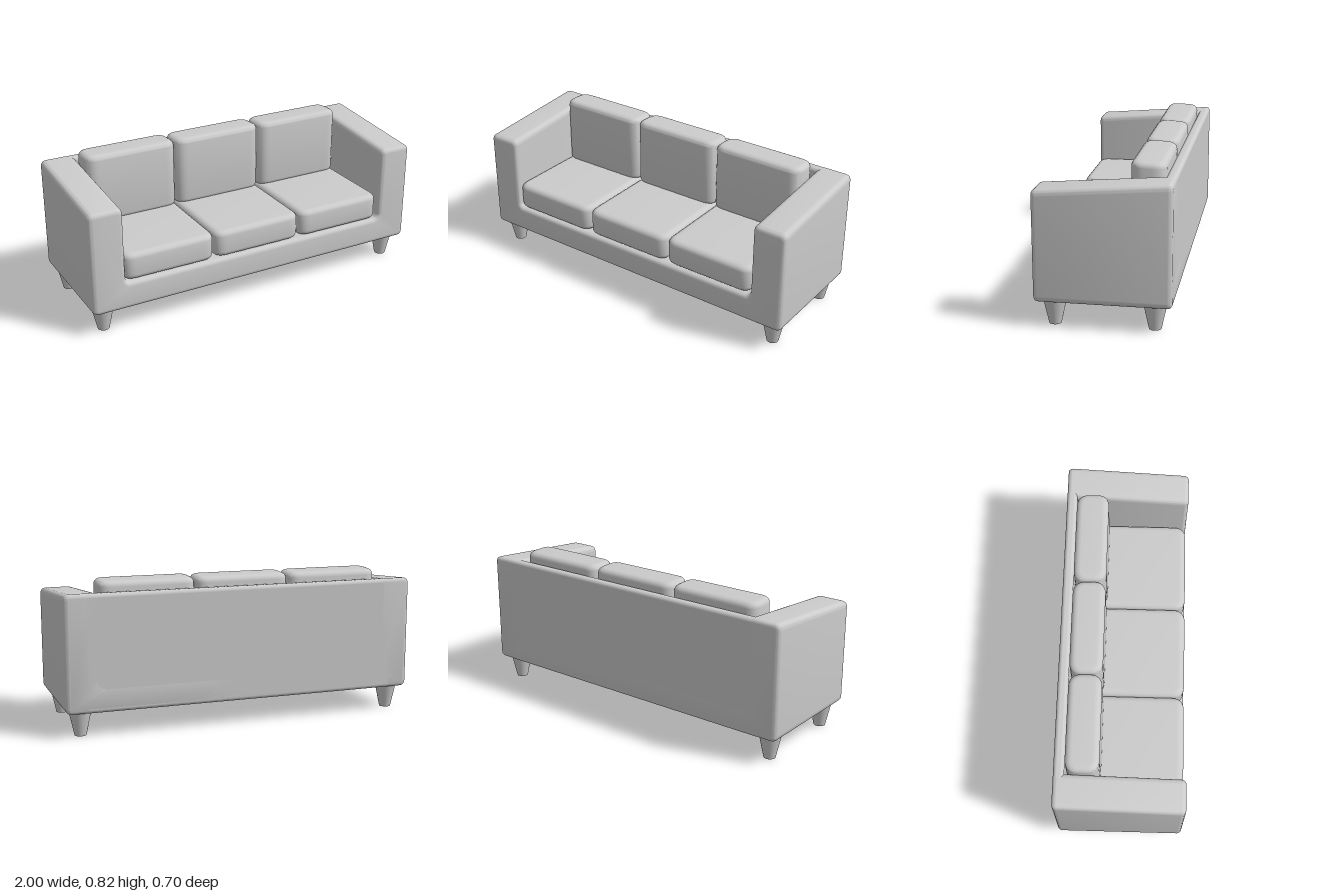
import * as THREE from 'three';
import { toCreasedNormals } from 'three/addons/utils/BufferGeometryUtils.js';
import { RoundedBoxGeometry } from 'three/addons/geometries/RoundedBoxGeometry.js';

// Closed outline with every corner rounded by radius r
function roundedShape(points, r) {
  const shape = new THREE.Shape();
  const n = points.length;
  points.forEach(([x, y], i) => {
    const p = new THREE.Vector2(x, y);
    const toward = (q) => new THREE.Vector2(...q).sub(p).setLength(r).add(p);
    const a = toward(points[(i + n - 1) % n]);
    const b = toward(points[(i + 1) % n]);
    if (i === 0) shape.moveTo(a.x, a.y);
    else shape.lineTo(a.x, a.y);
    shape.quadraticCurveTo(x, y, b.x, b.y);
  });
  shape.closePath();
  return shape;
}

// Extrusion along z, centred, with soft edges kept inside the outline
function softExtrude(shape, depth, bevelSize, bevelThickness) {
  const geometry = new THREE.ExtrudeGeometry(shape, {
    depth: depth - 2 * bevelThickness,
    bevelEnabled: true,
    bevelSize,
    bevelThickness,
    bevelOffset: -bevelSize,
    bevelSegments: 5,
    curveSegments: 8,
  });
  return geometry.translate(0, 0, bevelThickness - depth / 2);
}

// Slope the top: vertices above minY move up by slope * z
function slopeTop(geometry, minY, slope) {
  const p = geometry.attributes.position;
  for (let i = 0; i < p.count; i++) {
    if (p.getY(i) > minY) p.setY(i, p.getY(i) + slope * p.getZ(i));
  }
  return geometry;
}

// Cushion with rounded plan corners and soft top and bottom edges
function cushionGeometry(width, height, depth) {
  const w = width / 2;
  const d = depth / 2;
  const plan = roundedShape([[-w, -d], [w, -d], [w, d], [-w, d]], 0.07);
  return softExtrude(plan, height, 0.035, 0.03).rotateX(-Math.PI / 2);
}

export function createModel() {
  const sofa = new THREE.Group();
  sofa.name = 'sofa';
  const material = new THREE.MeshStandardMaterial({ color: 0xcccccc });

  const add = (name, geometry, x, y, z) => {
    const mesh = new THREE.Mesh(geometry, material);
    mesh.name = name;
    mesh.position.set(x, y, z);
    sofa.add(mesh);
  };

  // Base and both arms in one U-shaped body, arms rising to the back
  const outline = [
    [-1, 0.133], [1, 0.133], [1, 0.743], [0.81, 0.743],
    [0.81, 0.285], [-0.81, 0.285], [-0.81, 0.743], [-1, 0.743],
  ];
  const body = slopeTop(softExtrude(roundedShape(outline, 0.035), 0.7, 0.025, 0.025), 0.5, -0.08);
  add('baseAndArms', toCreasedNormals(body, 0.6), 0, 0, 0);

  // Back panel between the arms
  add('backPanel', new RoundedBoxGeometry(1.8, 0.635, 0.058, 5, 0.022), 0, 0.4505, -0.321);

  // Three seat cushions and three back cushions
  const seat = toCreasedNormals(cushionGeometry(0.537, 0.152, 0.645), 0.6);
  const rest = toCreasedNormals(slopeTop(cushionGeometry(0.537, 0.395, 0.182), 0, 0.04), 0.6);
  for (let i = -1; i <= 1; i++) {
    const x = -0.007 + i * 0.539;
    add('seatCushion', seat, x, 0.366, 0.024);
    add('backCushion', rest, x, 0.625, -0.199);
  }

  // Four tapered legs
  const leg = new THREE.CylinderGeometry(0.062, 0.032, 0.14, 32);
  for (const x of [-0.915, 0.91]) {
    for (const z of [-0.257, 0.255]) add('leg', leg, x, 0.07, z);
  }

  return sofa;
}
